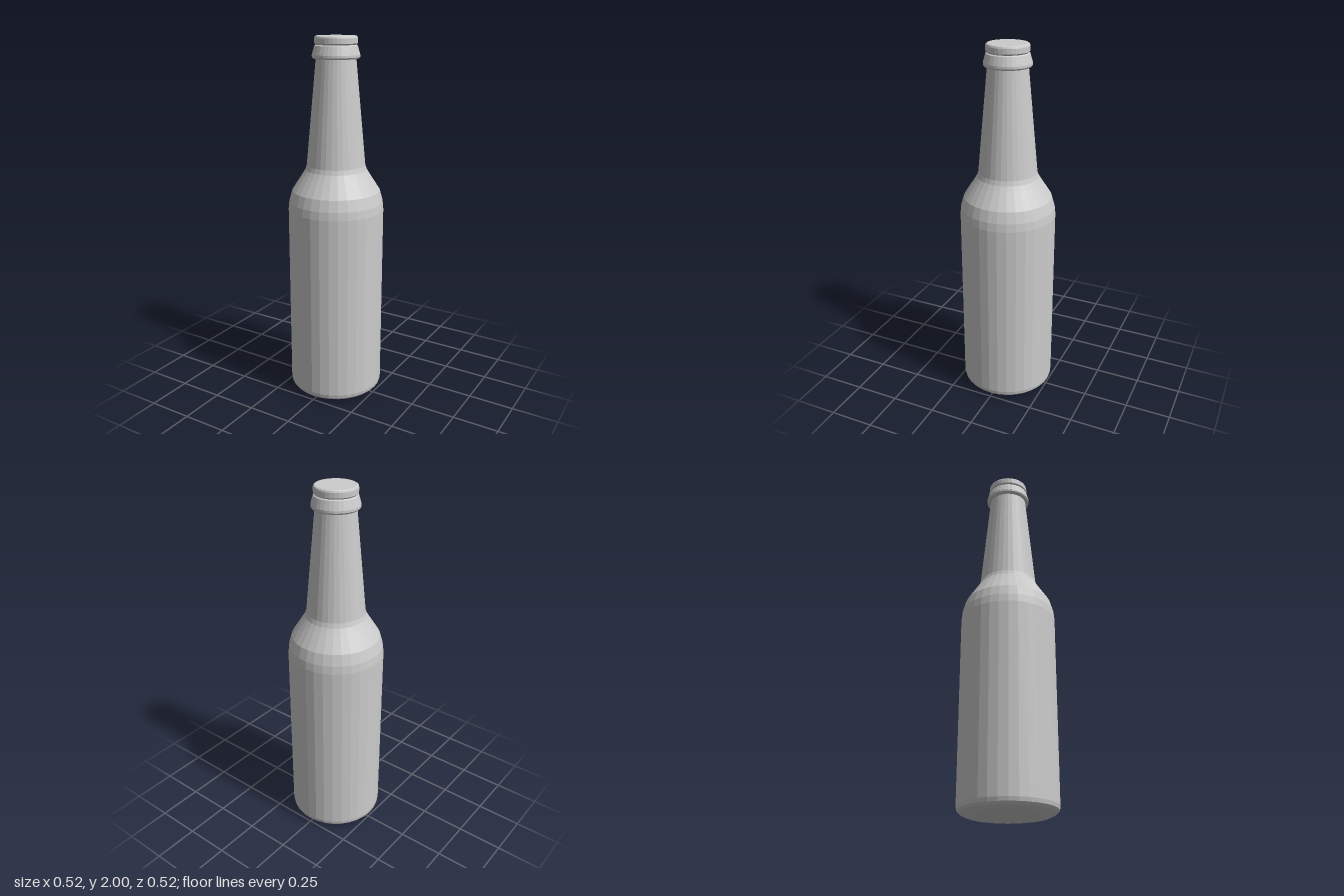
import * as THREE from 'three';

const SIDES = 32;

// Revolves a [radius, height] profile, listed from bottom to top
function turned(name, profile, material) {
  const points = profile.map(([r, y]) => new THREE.Vector2(r, y));
  const mesh = new THREE.Mesh(new THREE.LatheGeometry(points, SIDES), material);
  mesh.name = name;
  return mesh;
}

export function createModel() {
  const bottle = new THREE.Group();
  bottle.name = 'bottle';
  const material = new THREE.MeshStandardMaterial({
    color: 0xcccccc, flatShading: true, side: THREE.DoubleSide,
  });

  // Rounded base and straight body
  bottle.add(turned('body', [
    [0, 0], [0.18, 0.003], [0.22, 0.01], [0.246, 0.022], [0.258, 0.035],
    [0.262, 0.055], [0.262, 1.08],
  ], material));

  // Curved shoulder
  bottle.add(turned('shoulder', [
    [0.262, 1.08], [0.257, 1.125], [0.24, 1.185], [0.182, 1.275],
    [0.167, 1.3], [0.159, 1.325],
  ], material));

  // Tapered neck
  bottle.add(turned('neck', [[0.159, 1.325], [0.106, 1.885]], material));

  // Flared collar under the lip
  bottle.add(turned('collar', [
    [0.106, 1.885], [0.12, 1.885], [0.126, 1.893], [0.126, 1.905],
    [0.113, 1.95], [0.106, 1.955],
  ], material));

  // Lip, closed at the top
  bottle.add(turned('lip', [
    [0.106, 1.955], [0.113, 1.962], [0.113, 1.988], [0.11, 1.996],
    [0.104, 2], [0, 2],
  ], material));

  return bottle;
}
